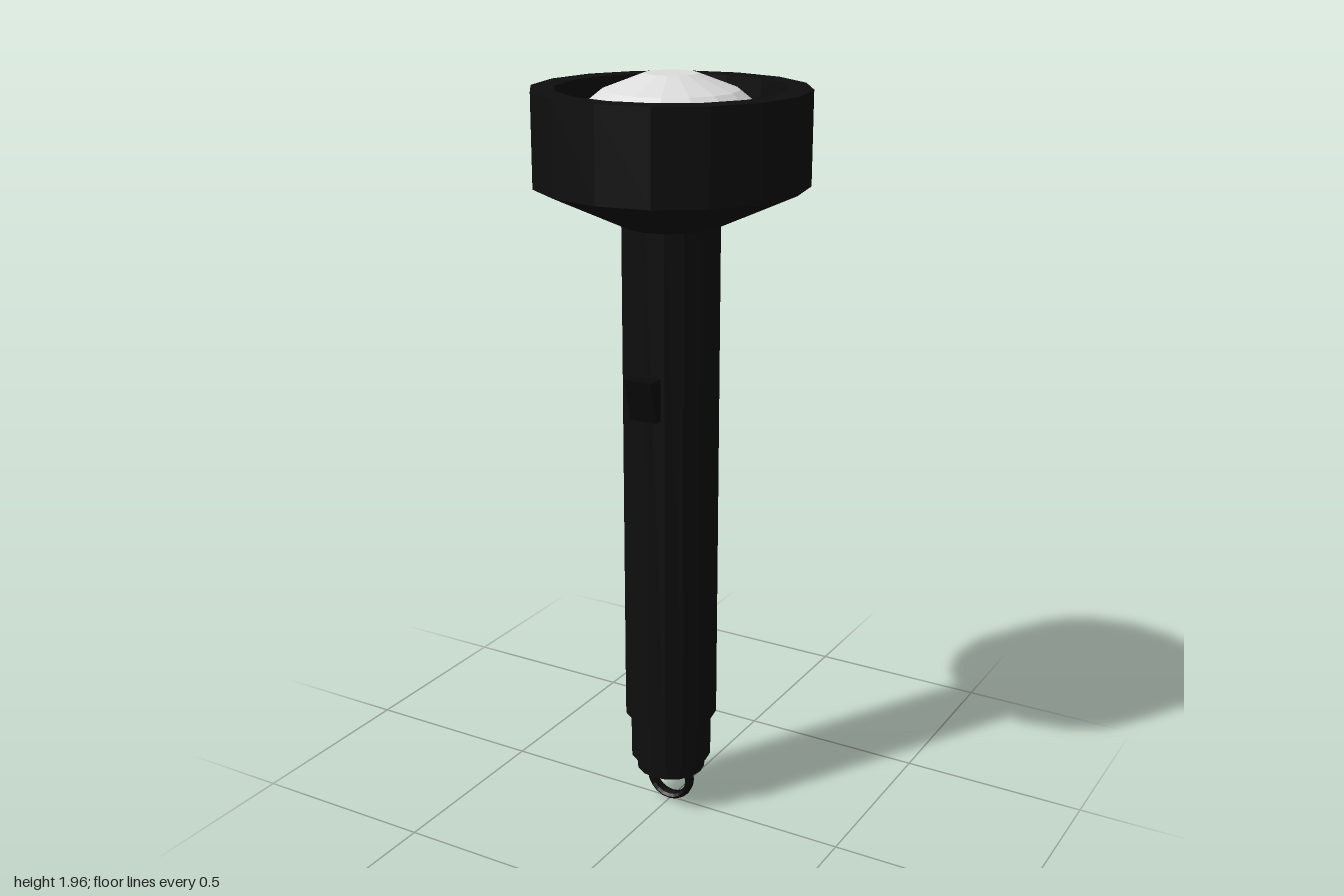
import * as THREE from 'three';

const SIDES = 16;

export function createModel() {
  const model = new THREE.Group();
  model.name = 'flashlight';

  const black = new THREE.MeshStandardMaterial({ color: 0x0e0e0e, flatShading: true });
  black.name = 'matte black';
  const darkBlack = new THREE.MeshStandardMaterial({ color: 0x090909, flatShading: true });
  darkBlack.name = 'deep black';
  const glass = new THREE.MeshStandardMaterial({ color: 0xdcdcdc, flatShading: true });
  glass.name = 'pale lens';

  const add = (name, geometry, material) => {
    const mesh = new THREE.Mesh(geometry, material);
    mesh.name = name;
    model.add(mesh);
    return mesh;
  };
  // Turned part from [radius, height] pairs, listed upward along the outside
  const turned = (name, profile, material) =>
    add(name, new THREE.LatheGeometry(profile.map(([r, y]) => new THREE.Vector2(r, y)), SIDES), material);

  // Flared head with a recessed mouth
  turned('head', [
    [0.123, 1.61], [0.34, 1.71], [0.34, 1.938], [0.28, 1.938], [0.28, 1.82], [0, 1.82],
  ], black);

  // Domed lens sitting inside the mouth
  turned('lens', [[0.28, 1.842], [0.165, 1.934], [0.065, 1.972], [0, 1.972]], glass);

  // Handle tube and the stepped tail cap
  turned('handle', [[0, 0.285], [0.123, 0.285], [0.123, 1.615]], black);
  turned('tailCap', [
    [0, 0.115], [0.092, 0.115], [0.092, 0.155], [0.108, 0.155], [0.108, 0.29],
  ], black);

  // Wedge-shaped switch on the front, side profile extruded across x
  const wedge = new THREE.Shape([
    new THREE.Vector2(-0.1, 1.14), new THREE.Vector2(-0.1, 1.25),
    new THREE.Vector2(-0.165, 1.25), new THREE.Vector2(-0.137, 1.14),
  ]);
  const switchGeometry = new THREE.ExtrudeGeometry(wedge, { depth: 0.074, bevelEnabled: false });
  switchGeometry.translate(0, 0, -0.037).rotateY(Math.PI / 2);
  add('switch', switchGeometry, darkBlack);

  // Flattened hanging ring under the tail
  const ring = add('hangingRing', new THREE.TorusGeometry(0.059, 0.01, 8, 20), darkBlack);
  ring.scale.z = 1.7;
  ring.position.y = 0.077;

  return model;
}
